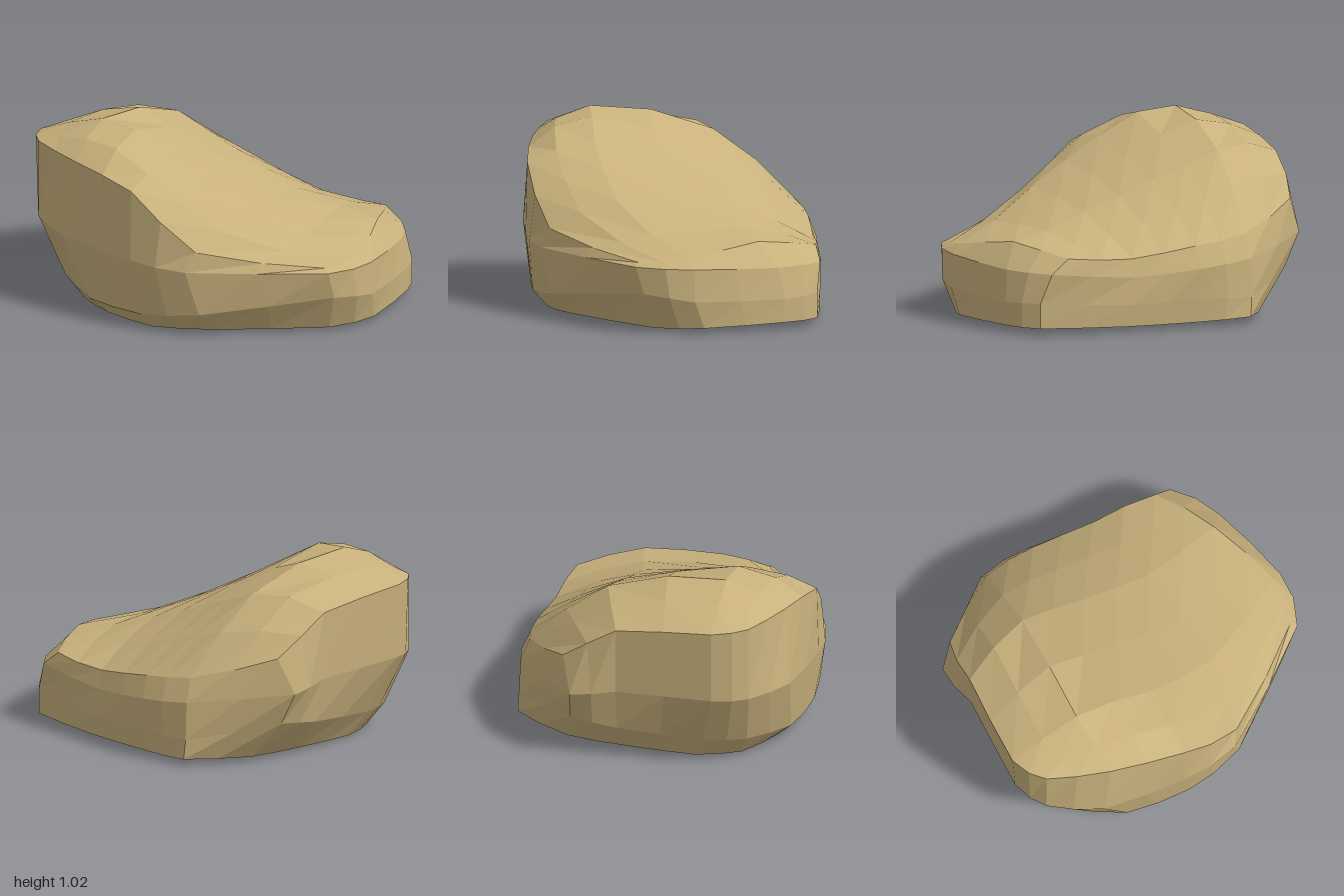
import * as THREE from 'three';

// Columns around the boulder: 8 along the front and back, 6 along each end
const LONG = 8, SHORT = 6, COLUMNS = 2 * (LONG + SHORT);

// Control loops, bottom to top; each runs from the front-left corner
// along the front, right end, back and left end.
const base = [[-.7, .01, .34], [-.5, .01, .56], [-.2, 0, .7], [.15, .02, .72], [.75, .02, .5], [.94, .03, .28], [1, .04, -.18],
  [.94, .04, -.4], [.5, .03, -.61], [.12, .03, -.75], [-.19, .04, -.855], [-.48, .03, -.6], [-.61, .02, -.28], [-.72, .01, .08]];
const low = [[-.8, .14, .36], [-.58, .1, .62], [-.25, .09, .77], [.1, .13, .82], [.8, .22, .58], [.95, .18, .34], [1, .17, -.18],
  [.94, .18, -.4], [.48, .15, -.63], [.1, .16, -.77], [-.2, .15, -.85], [-.66, .24, -.6], [-.74, .2, -.35], [-.82, .15, .12]];
const mid = [[-.95, .46, .36], [-.74, .44, .6], [-.3, .4, .79], [.03, .38, .855], [.78, .37, .62], [.94, .36, .34], [.97, .34, -.15],
  [.89, .34, -.44], [.45, .3, -.63], [.1, .33, -.78], [-.2, .36, -.84], [-.75, .42, -.61], [-.79, .45, -.36], [-.98, .47, .15]];
const rim = [[-.95, .89, .36], [-.67, .865, .58], [-.3, .795, .78], [.08, .49, .82], [.75, .39, .59], [.88, .41, .35], [.86, .475, -.08],
  [.79, .42, -.46], [.45, .4, -.6], [.1, .45, -.73], [-.2, .49, -.79], [-.66, .62, -.64], [-.8, .83, -.36], [-1, .89, .15]];

// Height of the sloping crest along x
const crest = [[-1, .89], [-.8, .97], [-.62, 1.03], [-.44, 1.035], [-.29, .95], [-.12, .865], [.06, .77], [.22, .69],
  [.41, .605], [.64, .52], [.87, .475]];
function crestHeight(x) {
  for (let i = 1; i < crest.length; i++) {
    const [x0, y0] = crest[i - 1], [x1, y1] = crest[i];
    if (x <= x1) return THREE.MathUtils.mapLinear(x, x0, x1, y0, y1);
  }
  return crest[crest.length - 1][1];
}

// Smooth closed loop, sampled twice per control point
function sampleLoop(points) {
  const curve = new THREE.CatmullRomCurve3(points.map(p => new THREE.Vector3(...p)), true, 'catmullrom', .3);
  return Array.from({ length: COLUMNS }, (_, i) => curve.getPoint(i / COLUMNS));
}

// Patch spanning the rim: x and z blend between the four edges, and the
// height falls away from the crest to meet the rim.
function topGrid(edge) {
  const at = i => edge[i % COLUMNS];
  const drop = p => crestHeight(p.x) - p.y;
  const crestAt = .4;
  const rowSpacing = [0, .1, .28, .48, .68, .85, 1]; // front to back, SHORT + 1 rows

  // Blend a value of the rim points with the given edge weights
  const blend = (value, i, j, front, back, left, right) => {
    const cross = (a, b, c) => value(a) - front * value(b) - back * value(c);
    return front * value(at(i)) + back * value(at(COLUMNS - SHORT - i))
      + left * cross(at(COLUMNS - j), at(0), at(COLUMNS - SHORT))
      + right * cross(at(LONG + j), at(LONG), at(LONG + SHORT));
  };

  return rowSpacing.map((v, j) => Array.from({ length: LONG + 1 }, (_, i) => {
    const u = i / LONG;
    const x = blend(p => p.x, i, j, 1 - v, v, 1 - u, u);
    const z = blend(p => p.z, i, j, 1 - v, v, 1 - u, u);
    const front = Math.max(0, 1 - v / crestAt) ** 3;
    const back = Math.max(0, (v - crestAt) / (1 - crestAt)) ** 2.5;
    return new THREE.Vector3(x, crestHeight(x) - blend(drop, i, j, front, back, (1 - u) ** 2, u ** 2), z);
  }));
}

function boulderGeometry() {
  const positions = [];
  const face = (...points) => points.forEach(p => positions.push(p.x, p.y, p.z));
  const strip = (lower, upper, count) => {
    for (let c = 0; c < count; c++) {
      const d = (c + 1) % lower.length;
      face(lower[c], lower[d], upper[d], lower[c], upper[d], upper[c]);
    }
  };

  // Sides
  const rings = [base, low, mid, rim].map(sampleLoop);
  for (let r = 0; r < 3; r++) strip(rings[r], rings[r + 1], COLUMNS);

  // Sloping top
  const rows = topGrid(rings[3]);
  for (let j = 0; j < SHORT; j++) strip(rows[j], rows[j + 1], LONG);

  // Underside
  const centre = new THREE.Vector3(.1, .02, 0);
  rings[0].forEach((p, c) => face(rings[0][(c + 1) % COLUMNS], p, centre));

  const geometry = new THREE.BufferGeometry();
  geometry.setAttribute('position', new THREE.Float32BufferAttribute(positions, 3));
  geometry.computeVertexNormals();
  return geometry;
}

export function createModel() {
  const group = new THREE.Group();
  group.name = 'rock';
  const material = new THREE.MeshStandardMaterial({ color: 0xc8b17c, flatShading: true });
  const boulder = new THREE.Mesh(boulderGeometry(), material);
  boulder.name = 'boulder';
  group.add(boulder);
  return group;
}
